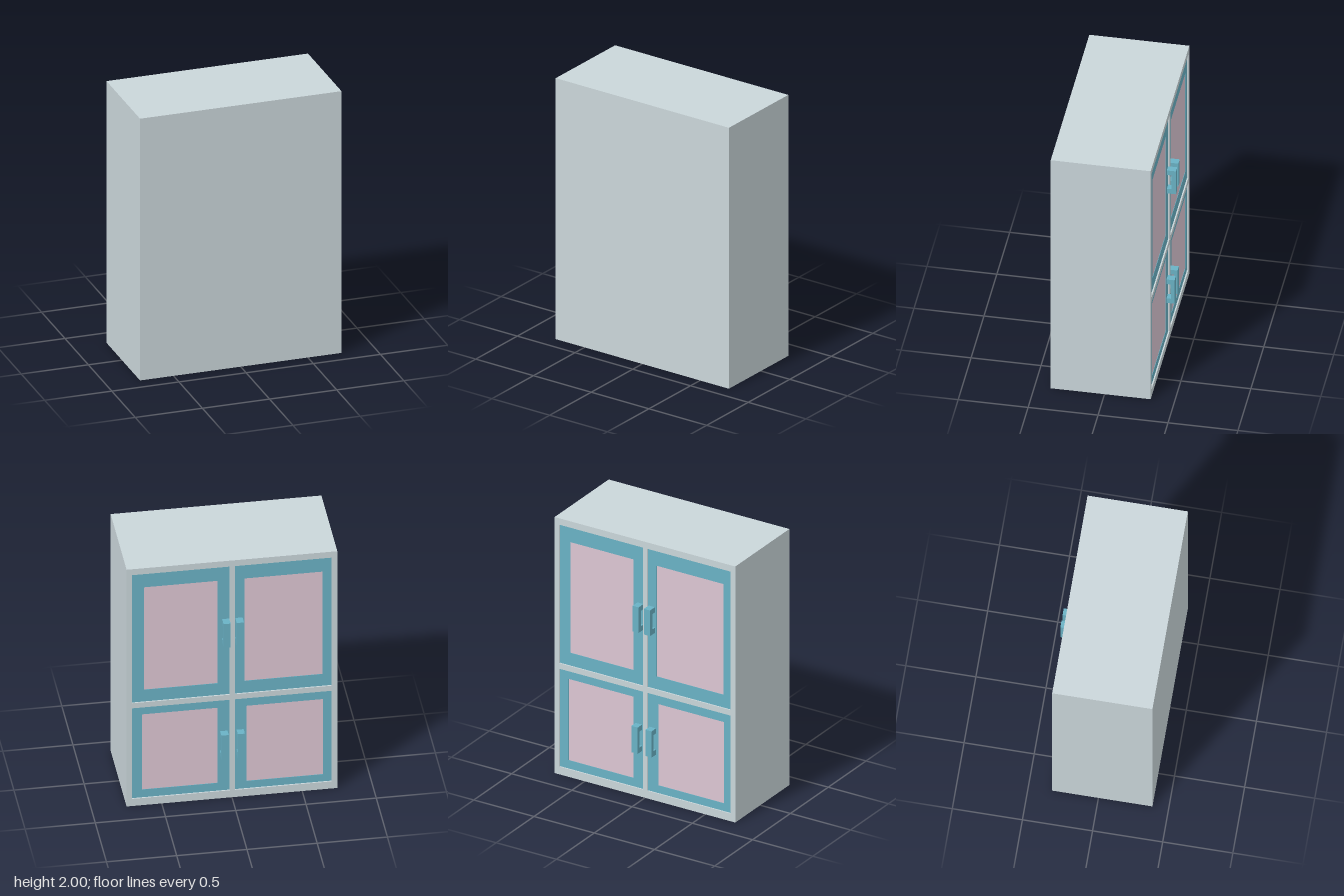
import * as THREE from 'three';

const BACK = -0.33; // plane of the cabinet face that carries the doors
const bodyMat = new THREE.MeshStandardMaterial({ color: 0xcad6da });
const tealMat = new THREE.MeshStandardMaterial({ color: 0x6ab2c5 });
const pinkMat = new THREE.MeshStandardMaterial({ color: 0xdcc6d3 });

function rect(target, [x0, x1, y0, y1]) {
  target.moveTo(x0, y0);
  target.lineTo(x1, y0);
  target.lineTo(x1, y1);
  target.lineTo(x0, y1);
  target.closePath();
  return target;
}

// Flat plate with rectangular openings, between two z planes
function plate(name, outer, holes, z0, z1, material) {
  const shape = rect(new THREE.Shape(), outer);
  for (const h of holes) shape.holes.push(rect(new THREE.Path(), h));
  const geo = new THREE.ExtrudeGeometry(shape, { depth: z1 - z0, bevelEnabled: false });
  geo.translate(0, 0, z0);
  const mesh = new THREE.Mesh(geo, material);
  mesh.name = name;
  return mesh;
}

function box(name, [x0, x1, y0, y1], z0, z1, material) {
  const mesh = new THREE.Mesh(new THREE.BoxGeometry(x1 - x0, y1 - y0, z1 - z0), material);
  mesh.position.set((x0 + x1) / 2, (y0 + y1) / 2, (z0 + z1) / 2);
  mesh.name = name;
  return mesh;
}

// Square C-shaped pull: a grip bar on two short arms
function handle([x0, x1, y0, y1], zOut) {
  const g = new THREE.Group();
  g.name = 'handle';
  const arm = 0.04, zIn = -0.352;
  g.add(box('handleGrip', [x0, x1, y0, y1], zOut, zIn, tealMat));
  g.add(box('handleLowerArm', [x0, x1, y0, y0 + arm], zIn, -0.318, tealMat));
  g.add(box('handleUpperArm', [x0, x1, y1 - arm, y1], zIn, -0.318, tealMat));
  return g;
}

// Each door as x0, x1, y0, y1
const doors = [
  { name: 'upperLeftDoor', door: [0.015, 0.71, 0.868, 1.95], panel: [0.1, 0.625, 0.967, 1.832],
    pull: [0.018, 0.068, 1.305, 1.505], zOut: -0.385 },
  { name: 'upperRightDoor', door: [-0.71, -0.02, 0.868, 1.95], panel: [-0.645, -0.09, 0.967, 1.832],
    pull: [-0.077, -0.025, 1.305, 1.505], zOut: -0.385 },
  { name: 'lowerLeftDoor', door: [0.015, 0.71, 0.06, 0.825], panel: [0.1, 0.64, 0.125, 0.76],
    pull: [0.03, 0.083, 0.355, 0.56], zOut: -0.378 },
  { name: 'lowerRightDoor', door: [-0.71, -0.02, 0.06, 0.825], panel: [-0.65, -0.105, 0.12, 0.755],
    pull: [-0.085, -0.034, 0.355, 0.56], zOut: -0.378 },
];

export function createModel() {
  const model = new THREE.Group();
  model.name = 'cabinet';

  // Carcass and the face frame around the doors
  const outline = [-0.75, 0.75, 0, 2];
  model.add(box('carcass', outline, BACK + 0.02, 0.385, bodyMat));
  model.add(plate('faceFrame', outline, doors.map((d) => d.door), BACK, BACK + 0.02, bodyMat));

  // Doors set slightly into the frame, each with a panel and a pull
  for (const d of doors) {
    const g = new THREE.Group();
    g.name = d.name;
    g.add(plate('doorFrame', d.door, [d.panel], BACK + 0.01, BACK + 0.02, tealMat));
    g.add(box('doorPanel', d.panel, BACK + 0.013, BACK + 0.02, pinkMat));
    g.add(handle(d.pull, d.zOut));
    model.add(g);
  }
  return model;
}
